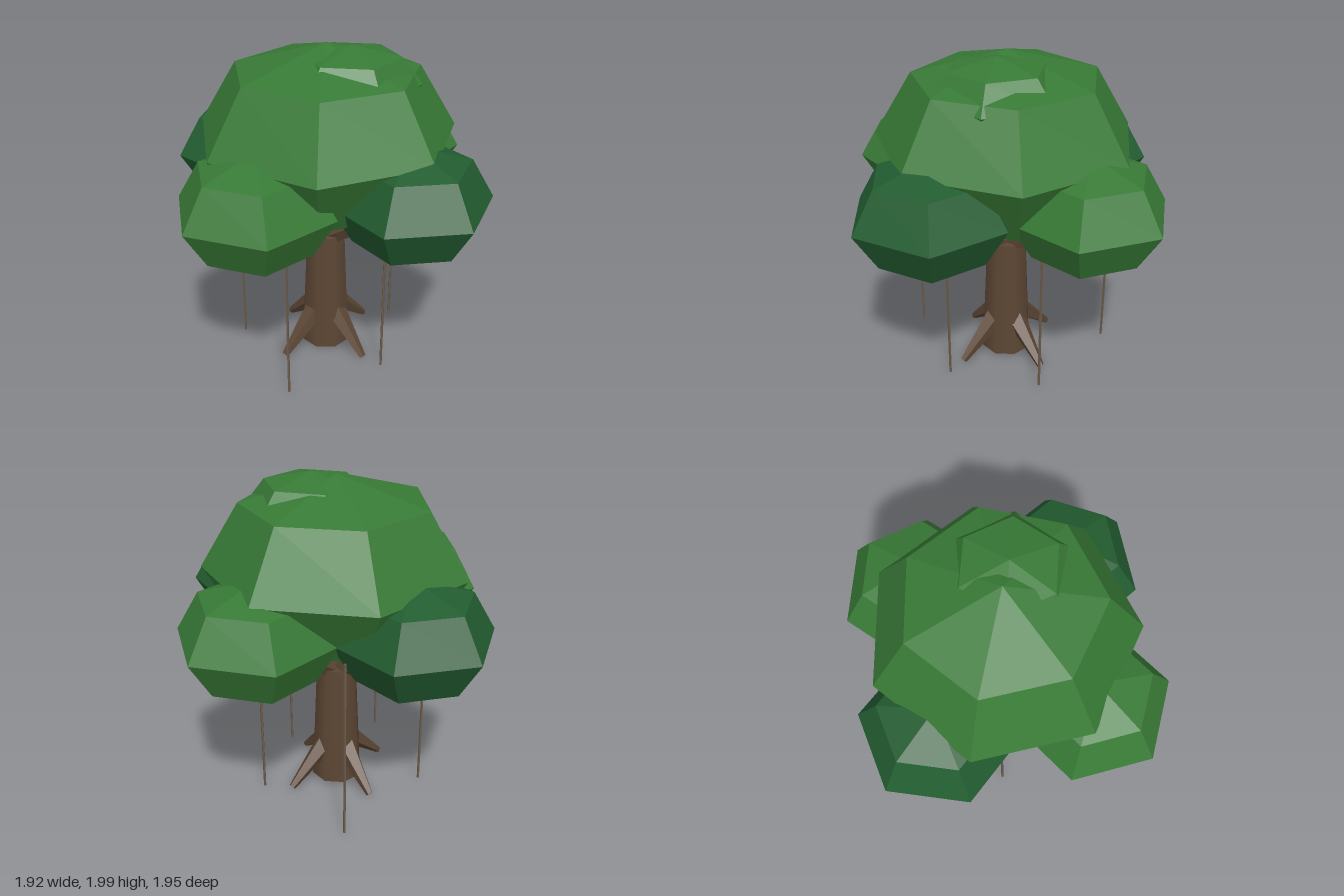
import * as THREE from 'three';

const mat = (name, color) => {
  const m = new THREE.MeshStandardMaterial({ color });
  m.name = name;
  return m;
};

// Unshared corners give every facet its own normal
function facet(geo) {
  const g = geo.toNonIndexed();
  g.computeVertexNormals();
  return g;
}

export function createModel() {
  const tree = new THREE.Group();
  tree.name = 'tree';
  const leaf = mat('leafGreen', 0x387a36);
  const darkLeaf = mat('darkLeafGreen', 0x225c30);
  const bark = mat('barkBrown', 0x5c4634);
  const vineBark = mat('vineBrown', 0x6a5a4a);
  const cx = 0.015, cz = -0.015; // trunk axis

  function add(name, geo, material) {
    const mesh = new THREE.Mesh(geo, material);
    mesh.name = name;
    tree.add(mesh);
    return mesh;
  }

  // Faceted leaf clump with one corner pointing at the given angle (from +x towards +z)
  function clump(name, material, sides, [x, y, z], r, ry, degrees) {
    const geo = new THREE.SphereGeometry(1, sides, 4);
    geo.rotateY(Math.PI - THREE.MathUtils.degToRad(degrees));
    geo.scale(r, ry, r);
    add(name, facet(geo), material).position.set(x, y, z);
  }

  // Tapered limb between two points
  function limb(name, material, a, b, ra, rb, sides) {
    const from = new THREE.Vector3(...a), to = new THREE.Vector3(...b);
    const dir = to.clone().sub(from);
    const geo = facet(new THREE.CylinderGeometry(rb, ra, dir.length(), sides));
    const mesh = add(name, geo, material);
    mesh.position.copy(from).add(to).multiplyScalar(0.5);
    mesh.quaternion.setFromUnitVectors(new THREE.Vector3(0, 1, 0), dir.normalize());
  }

  // Trunk
  add('trunk', new THREE.CylinderGeometry(0.125, 0.16, 0.79, 8), bark).position.set(cx, 0.415, cz);

  // Buttress roots
  for (let i = 0; i < 4; i++) {
    const a = THREE.MathUtils.degToRad(-20 + 90 * i), c = Math.cos(a), s = Math.sin(a);
    limb('root', bark, [cx + 0.08 * c, 0.27, cz + 0.08 * s], [cx + 0.35 * c, 0.025, cz + 0.35 * s], 0.07, 0.022, 5);
  }

  // Crown and the cap on top of it
  clump('crown', leaf, 7, [cx, 1.47, cz], 0.78, 0.53, -90);
  clump('crownCap', leaf, 6, [0.13, 1.79, 0.08], 0.4, 0.21, 30);

  // Side clumps, each carried by a branch
  const sideClumps = [
    [-0.52, 0.28, 161, leaf],
    [0.31, 0.52, 75, darkLeaf],
    [0.55, -0.31, 30, leaf],
    [-0.27, -0.55, 243.7, darkLeaf],
  ];
  for (const [x, z, angle, material] of sideClumps) {
    clump('sideClump', material, 6, [x, 1.21, z], 0.47, 0.33, angle);
    limb('branch', bark, [cx, 0.76, cz], [cx + (x - cx) * 0.8, 1.08, cz + (z - cz) * 0.8], 0.06, 0.035, 5);
  }

  // Hanging aerial roots
  const vines = [[-0.41, 0.44], [-0.465, -0.26], [0.21, 0.42], [0.505, -0.06], [0.15, -0.64]];
  for (const [x, z] of vines) limb('aerialRoot', vineBark, [x, 0.02, z], [x, 1.15, z], 0.008, 0.008, 5);

  return tree;
}
